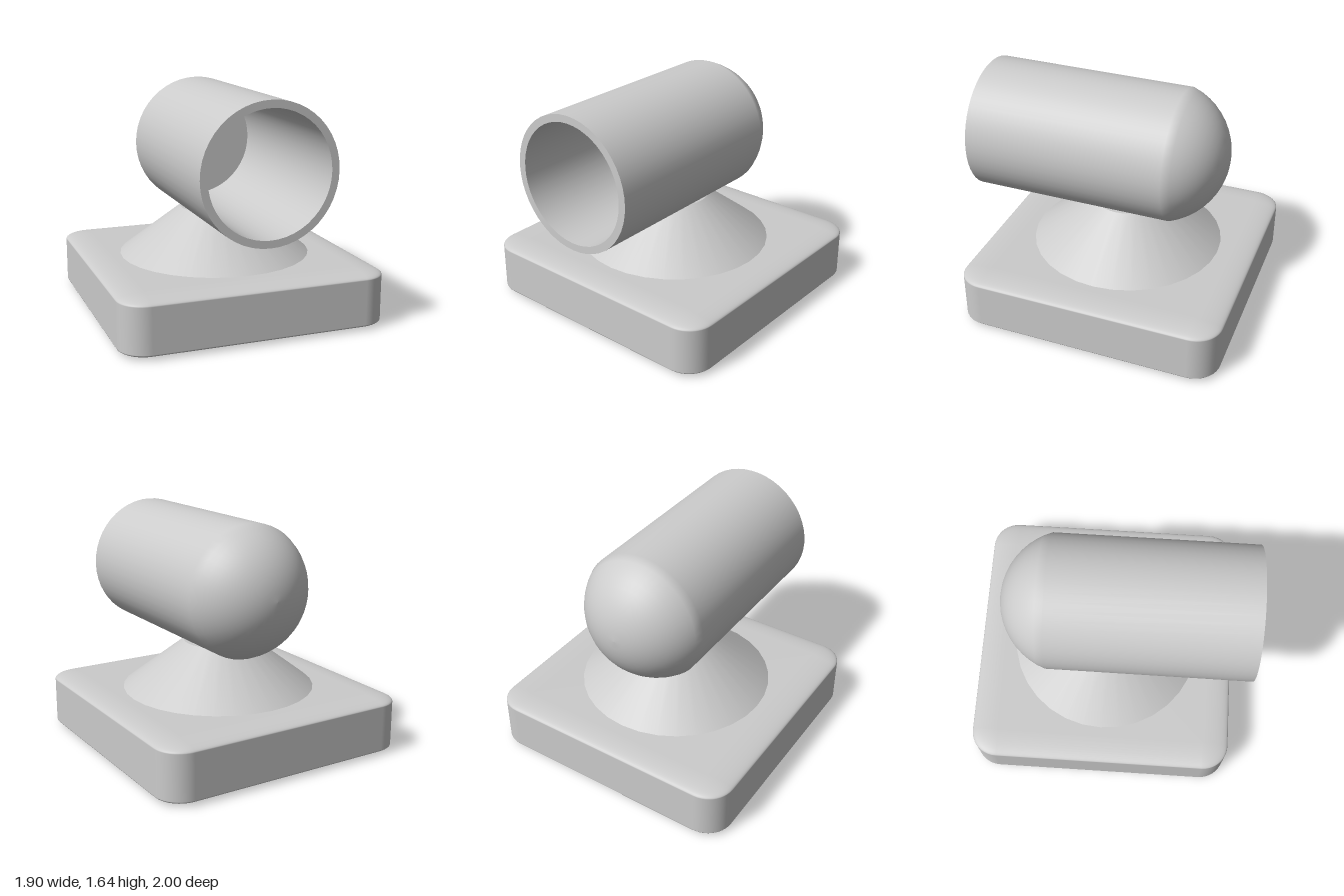
import * as THREE from 'three';
import { RoundedBoxGeometry } from 'three/addons/geometries/RoundedBoxGeometry.js';

const material = new THREE.MeshStandardMaterial({ color: 0xcccccc });

export function createModel() {
  const model = new THREE.Group();

  const add = (name, geometry, parent = model) => {
    const mesh = new THREE.Mesh(geometry, material);
    mesh.name = name;
    parent.add(mesh);
    return mesh;
  };

  // Base: a rounded cube squashed flat, so its edges become elliptical
  const base = new RoundedBoxGeometry(1.9, 1.9, 1.91, 6, 0.19);
  base.scale(1, 0.4 / 1.9, 1);
  add('base', base).position.set(0, 0.2, -0.045);

  // Conical pedestal, its top buried in the wall of the barrel
  add('pedestal', new THREE.CylinderGeometry(0.25, 0.7, 0.345, 32))
    .position.set(0, 0.5675, -0.045);

  // Barrel: profiles of [radius, z], turned about the z axis
  const barrel = new THREE.Group();
  barrel.name = 'barrel';
  barrel.position.y = 1.165;
  model.add(barrel);

  const outer = 0.475, inner = 0.423, mouth = 1, shoulder = -0.44, tip = -0.78;
  const turn = (name, profile) => {
    const points = profile.map(([r, z]) => new THREE.Vector2(r, z));
    add(name, new THREE.LatheGeometry(points, 48).rotateX(Math.PI / 2), barrel);
  };

  // Shallow spherical cap closing the back
  const height = shoulder - tip;
  const radius = (outer * outer + height * height) / (2 * height);
  const sweep = Math.asin(outer / radius);
  const dome = [];
  for (let i = 0; i <= 10; i++) {
    const a = (sweep * i) / 10;
    dome.push([radius * Math.sin(a), tip + radius * (1 - Math.cos(a))]);
  }

  turn('domedShell', [...dome, [outer, mouth]]);
  turn('rim', [[outer, mouth], [inner, mouth]]);
  turn('bore', [[inner, mouth], [inner, shoulder]]);
  turn('boreEnd', [[inner, shoulder], [0, shoulder]]);

  return model;
}
